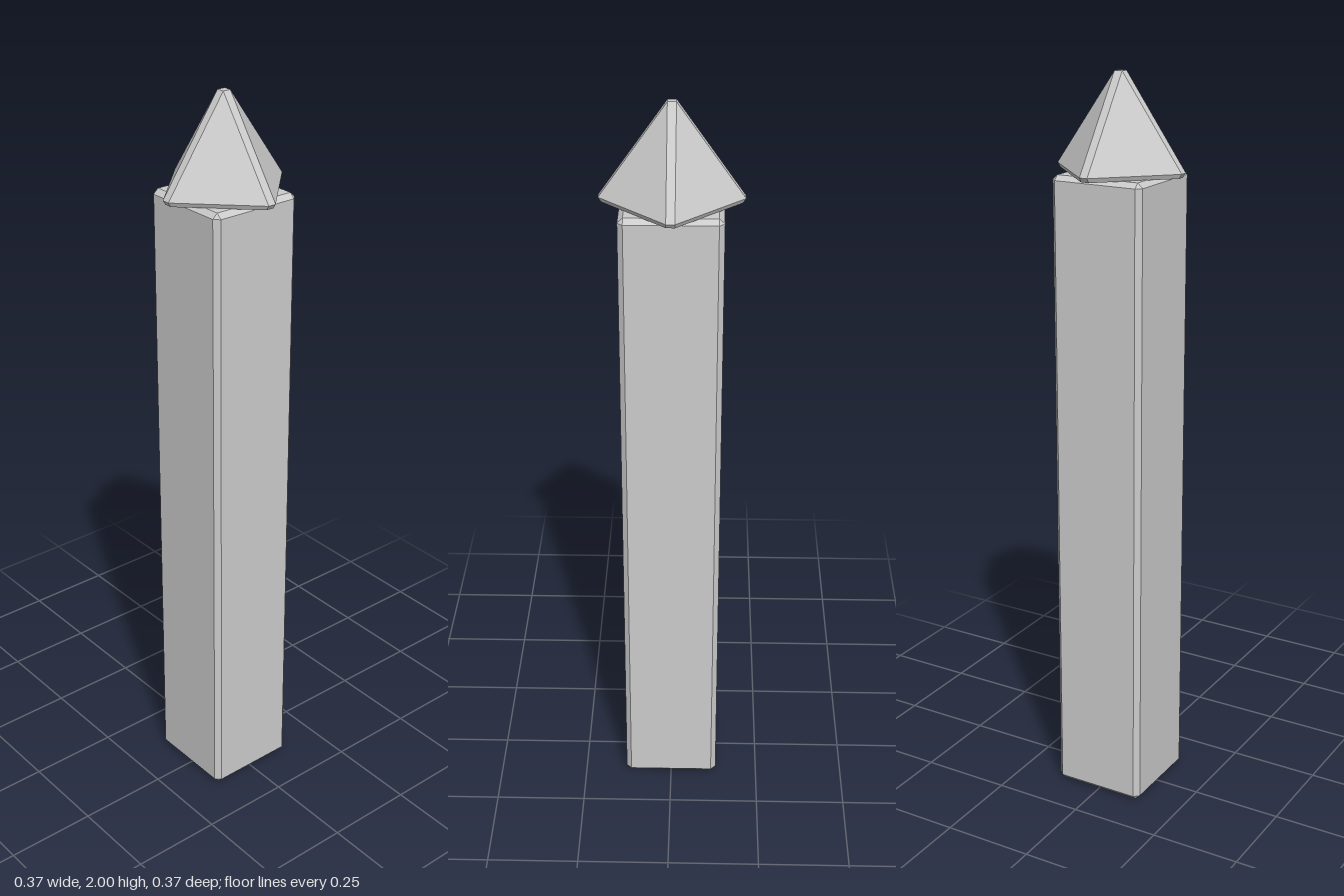
import * as THREE from 'three';

// Eight-cornered ring: half extent a, with flats of half width b facing the axes
function ring([y, a, b]) {
  const corners = [[a, -b], [a, b], [b, a], [-b, a], [-a, b], [-a, -b], [-b, -a], [b, -a]];
  return corners.map(([x, z]) => new THREE.Vector3(x, y, -z));
}

// Closed faceted solid through rings listed from bottom to top
function loft(sections) {
  const rings = sections.map(ring);
  const points = [];
  const addTriangle = (p, q, r) => {
    // rings with a = b collapse to squares, so skip empty triangles
    if (p.distanceTo(q) > 1e-6 && q.distanceTo(r) > 1e-6 && r.distanceTo(p) > 1e-6) points.push(p, q, r);
  };
  for (let k = 0; k < rings.length - 1; k++) {
    const low = rings[k], high = rings[k + 1];
    for (let i = 0; i < 8; i++) {
      const j = (i + 1) % 8;
      addTriangle(low[i], low[j], high[j]);
      addTriangle(low[i], high[j], high[i]);
    }
  }
  const bottom = rings[0], top = rings[rings.length - 1];
  for (let i = 1; i < 7; i++) {
    addTriangle(bottom[0], bottom[i + 1], bottom[i]);
    addTriangle(top[0], top[i], top[i + 1]);
  }
  const geometry = new THREE.BufferGeometry().setFromPoints(points);
  geometry.computeVertexNormals();
  return geometry;
}

export function createModel() {
  const model = new THREE.Group();
  model.name = 'fencePost';
  const material = new THREE.MeshStandardMaterial({ color: 0xcccccc, flatShading: true });
  const add = (name, sections) => {
    const mesh = new THREE.Mesh(loft(sections), material);
    mesh.name = name;
    model.add(mesh);
  };

  // Square post with every edge bevelled
  add('post', [[0, 0.117, 0.117], [0.014, 0.131, 0.117], [1.733, 0.131, 0.117], [1.746, 0.117, 0.117]]);

  // Bevelled pyramid cap, turned 45 degrees to the post
  add('cap', [[1.745, 0.175, 0.011], [1.757, 0.183, 0.011], [2, 0.011, 0.011]]);

  return model;
}
